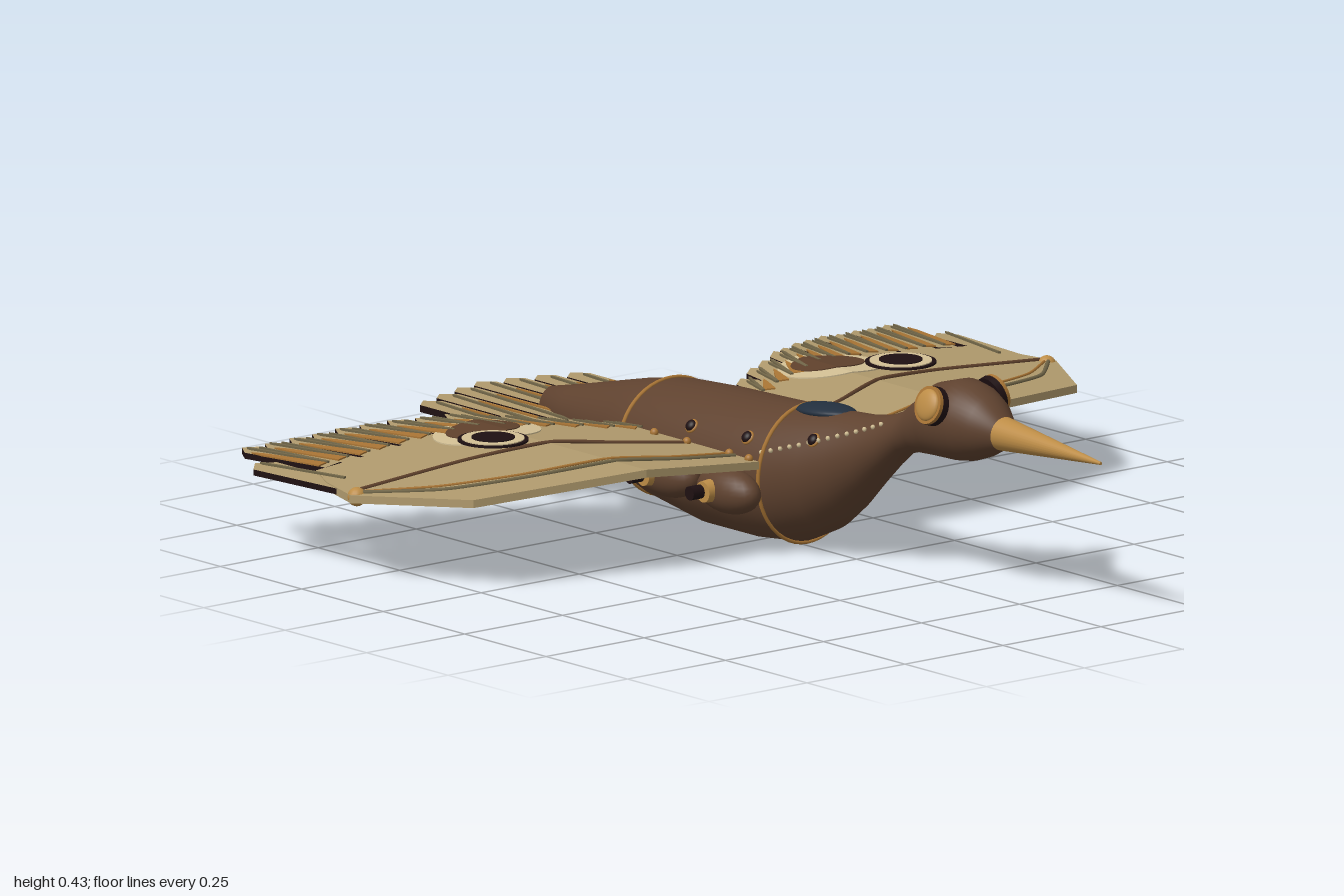
import * as THREE from 'three';

const mat = (name, color) => Object.assign(new THREE.MeshStandardMaterial({ color }), { name });
const M = {
  brown: mat('brown hull', 0x5f422f), tan: mat('tan canvas', 0xb09a6d), gold: mat('brass', 0xbc8c46),
  copper: mat('copper', 0xa87434), dark: mat('near black', 0x1e1012), glass: mat('blue glass', 0x222f3e),
  pale: mat('pale canvas', 0xd2bf94), grey: mat('grey cord', 0x716648), rust: mat('spot brown', 0x5f412c),
};

// hull stations: z, top, bottom, half width
const HULL = [
  [.71, .342, .34, .002], [.708, .37, .31, .03], [.66, .407, .285, .058], [.62, .424, .271, .073], [.58, .43, .265, .079],
  [.51, .41, .262, .068], [.45, .365, .258, .05], [.41, .335, .246, .045], [.36, .316, .205, .05],
  [.3, .305, .15, .062], [.24, .3, .095, .082], [.18, .296, .05, .102], [.1, .29, .015, .125],
  [0, .285, .005, .137], [-.15, .28, .005, .139], [-.3, .27, .03, .133], [-.4, .252, .055, .11],
  [-.5, .228, .07, .087], [-.6, .204, .085, .06], [-.685, .185, .097, .034], [-.69, .142, .14, .002],
];

function section(z) {
  let i = 0;
  while (i < HULL.length - 2 && HULL[i + 1][0] > z) i++;
  const a = HULL[i], b = HULL[i + 1], t = (z - a[0]) / (b[0] - a[0]);
  const [, top, bot, rx] = a.map((v, k) => v + (b[k] - v) * t);
  return { cy: (top + bot) / 2, ry: (top - bot) / 2, rx };
}
// point on the hull; angle 0 is sideways, PI/2 is up
function onHull(z, angle, out = 0) {
  const s = section(z);
  return [Math.cos(angle) * (s.rx + out), s.cy + Math.sin(angle) * (s.ry + out), z];
}

function add(parent, name, geo, material, pos = [0, 0, 0], rot = [0, 0, 0], scale = [1, 1, 1]) {
  const m = new THREE.Mesh(geo, material);
  m.name = name;
  m.position.set(...pos);
  m.rotation.set(...rot);
  m.scale.set(...scale);
  parent.add(m);
}

function hullGeometry() {
  const n = HULL.length - 1, g = new THREE.CylinderGeometry(1, 1, 1, 40, n, true), p = g.attributes.position;
  for (let i = 0; i < p.count; i++) {
    const [z, top, bot, rx] = HULL[Math.round((.5 - p.getY(i)) * n)];
    p.setXYZ(i, p.getX(i) * rx, (top + bot) / 2 - p.getZ(i) * (top - bot) / 2, z);
  }
  g.computeVertexNormals();
  return g;
}

// wing height: rises to the elbow, then droops to the tip
const wingY = x => x < .42 ? .185 + (x - .1) / .32 * .03 : .215 - (x - .42) / .48 * .039;

// horizontal plate from [x, z] corners, optionally following the wing
function plate(points, y, thick, bend = true) {
  const shape = new THREE.Shape(points.map(([x, z]) => new THREE.Vector2(x, -z)));
  const g = new THREE.ExtrudeGeometry(shape, { depth: thick, bevelEnabled: false }).rotateX(-Math.PI / 2);
  const p = g.attributes.position;
  for (let i = 0; i < p.count; i++) p.setY(i, p.getY(i) + y + (bend ? wingY(p.getX(i)) : 0));
  g.computeVertexNormals();
  return g;
}
// pointed strip from base to tip
function strip([bx, bz], [tx, tz], w0, w1, point) {
  const d = new THREE.Vector2(tx - bx, tz - bz), len = d.length();
  d.divideScalar(len);
  const at = (along, side) => [bx + d.x * along - d.y * side, bz + d.y * along + d.x * side];
  return [at(0, -w0), at(len - point, -w1), at(len, 0), at(len - point, w1), at(0, w0)];
}
// half of an ellipse, cut at the wing elbow: side -1 is inboard, 1 is outboard
function halfEllipse(cx, cz, rx, rz, side) {
  const cut = Math.acos((.42 - cx) / rx), span = side > 0 ? cut : Math.PI - cut, mid = side > 0 ? 0 : Math.PI;
  return Array.from({ length: 21 }, (_, i) => {
    const a = mid + (i / 10 - 1) * span;
    return [cx + Math.cos(a) * rx, cz + Math.sin(a) * rz];
  });
}
const tube = (pts, r) => new THREE.TubeGeometry(
  new THREE.CatmullRomCurve3(pts.map(p => new THREE.Vector3(...p)), false, 'catmullrom', .3), 32, r, 6);

const FEATHER = [M.tan, M.dark]; // faces, edges

function wing() {
  const w = new THREE.Group();
  const inner = [[.132, .11], [.42, .11], [.42, -.41], [.38, -.41], [.125, -.325]];
  const outer = [[.42, .11], [.77, 0], [.9, -.22], [.87, -.33], [.83, -.41], [.42, -.41]];
  add(w, 'innerWing', plate(inner, -.008, .016), M.tan);
  add(w, 'outerWing', plate(outer, -.008, .016), M.tan);

  // trailing feathers with quills and copper barbs
  const tips = [[.16, -.35], [.21, -.385], [.265, -.425], [.32, -.46], [.37, -.485], [.42, -.51], [.47, -.54], [.52, -.565],
    [.57, -.59], [.62, -.605], [.67, -.615], [.72, -.625], [.77, -.64], [.82, -.65], [.87, -.55]];
  tips.forEach(([x, z], i) => {
    const last = i === tips.length - 1;
    const base = last ? [.86, -.28] : [x - .035, z + .13 + .13 * x];
    const y = -.006 + (i % 2) * .002;
    add(w, 'wingFeather', plate(strip(base, [x, z], .022, last ? .031 : .025, .03), y, .012), FEATHER);
    const len = .06 + .2 * x;
    add(w, 'featherQuill', plate(strip([x - .035, z + len], [x + .004, z + .02], .003, .003, .01), .0095, .004), M.grey);
    if (last) return;
    add(w, 'innerQuill', plate(strip([x - .035, z + len], [x - .014, z + .035], .003, .002, .01), .0095, .004), M.grey);
    add(w, 'copperBarb', plate(strip([x - .02, z + len], [x + .017, z + .05], .012, .006, .03), .0085, .003), M.copper);
  });

  // ribs, cords and tip knob
  const path = pts => pts.map(([x, z]) => [x, wingY(x) + .009, z]);
  add(w, 'wingBone', tube(path([[.14, -.1], [.28, -.14], [.42, -.19], [.6, -.225], [.88, -.235]]), .0045), M.rust);
  add(w, 'frontCord', tube(path([[.14, .045], [.28, .04], [.42, .015], [.6, -.035], [.76, -.1], [.88, -.22]]), .0045), M.grey);
  add(w, 'rearCord', tube(path([[.14, .02], [.28, .015], [.42, -.01], [.6, -.06], [.75, -.125], [.87, -.22]]), .003), M.copper);
  add(w, 'tipKnob', new THREE.SphereGeometry(.019, 16, 12), M.gold, [.88, wingY(.88), -.225]);

  // patch on both faces, laid either side of the elbow
  for (const side of [-1, 1]) for (const [y, step] of [[.008, .002], [-.0105, -.002]]) {
    add(w, 'palePatch', plate(halfEllipse(.44, -.355, .118, .088, side), y, .0025), M.pale);
    add(w, 'brownPatch', plate(halfEllipse(.44, -.368, .083, .055, side), y + step, .0025), M.rust);
  }
  // raised eye spot
  [[.07, M.dark], [.062, M.pale], [.043, M.dark]].forEach(([r, m], i) =>
    add(w, 'eyeSpot', new THREE.CylinderGeometry(r, r, .004, 32), m, [.52, .236 + i * .002, -.24]));
  return w;
}

function sideParts() {
  const s = new THREE.Group(), ball = new THREE.SphereGeometry(1, 24, 16), H = Math.PI / 2;
  // eye with dark backing
  const eye = new THREE.Group();
  eye.name = 'eye';
  eye.position.set(.078, .385, .575);
  eye.rotation.z = .3;
  add(eye, 'eyeBacking', new THREE.CylinderGeometry(.039, .039, .014, 28), M.dark, [-.003, 0, 0], [0, 0, H]);
  add(eye, 'eyeRim', new THREE.CylinderGeometry(.038, .038, .008, 28), M.copper, [.008, 0, 0], [0, 0, H]);
  add(eye, 'eyeLens', ball, M.gold, [.011, 0, 0], [0, 0, 0], [.012, .032, .032]);
  s.add(eye);

  // side pods with outward nozzles
  for (const z of [.045, -.14]) {
    add(s, 'pod', ball, M.brown, [.155, .13, z], [0, 0, 0], [.042, .046, .085]);
    add(s, 'podCollar', new THREE.CylinderGeometry(.021, .024, .03, 20), M.gold, [.195, .132, z - .015], [0, 0, -H]);
    add(s, 'podNozzle', new THREE.CylinderGeometry(.014, .014, .05, 16), M.dark, [.213, .132, z - .022], [0, 0, -H]);
  }
  // rear thrusters
  add(s, 'thruster', new THREE.CylinderGeometry(.029, .029, .15, 20), M.brown, [.085, .112, -.565], [H, 0, 0]);
  add(s, 'thrusterBand', new THREE.CylinderGeometry(.031, .031, .02, 20), M.dark, [.085, .112, -.555], [H, 0, 0]);
  add(s, 'thrusterCap', new THREE.CylinderGeometry(.03, .033, .04, 20), M.gold, [.085, .112, -.655], [H, 0, 0]);
  add(s, 'thrusterBore', new THREE.CylinderGeometry(.02, .02, .008, 16), M.dark, [.085, .112, -.675], [H, 0, 0]);

  // tail streamer
  add(s, 'streamer', tube([[.07, .07, -.37], [.075, .056, -.5], [.075, .047, -.7], [.075, .06, -1]], .0075), M.dark);

  // portholes and root bolts
  for (const [z, a] of [[.21, .6], [.045, .62], [-.12, .62]]) {
    add(s, 'portholeRim', ball, M.copper, onHull(z, a), [0, 0, a], [.006, .015, .015]);
    add(s, 'porthole', ball, M.dark, onHull(z, a, .003), [0, 0, a], [.008, .012, .012]);
  }
  for (const z of [.09, .03, -.1, -.2])
    add(s, 'rootBolt', ball, M.copper, [.142, .2, z], [0, 0, 0], [.008, .009, .009]);
  // neck stitching
  for (let i = 0; i < 14; i++)
    add(s, 'stitch', new THREE.SphereGeometry(.005, 6, 5), M.pale, onHull(.37 - i * .021, .75 - i * .025, .002));
  return s;
}

export function createModel() {
  const bird = new THREE.Group();
  bird.name = 'mechanicalBird';
  add(bird, 'hull', hullGeometry(), M.brown);
  add(bird, 'beak', new THREE.CylinderGeometry(.003, .034, .3, 28), M.gold, [0, .337, .85], [Math.PI / 2 + .02, 0, 0]);
  add(bird, 'cockpit', new THREE.SphereGeometry(1, 28, 16), M.glass, [0, .288, .155], [-.07, 0, 0], [.043, .015, .081]);

  // brass hoops
  for (const z of [.1, -.32]) {
    const s = section(z);
    add(bird, 'hoop', new THREE.TorusGeometry(1, .03, 6, 48), M.copper, [0, s.cy, z], [0, 0, 0], [s.rx + .002, s.ry + .002, .15]);
  }

  // tail fan
  for (let i = -3; i <= 3; i++) {
    const x = i * .0625, end = [-.915, -.9, -.88, -.855][Math.abs(i)];
    add(bird, 'tailFeather', plate(strip([x, -.51], [x, end], .028, .028, .025), .138, .014, false), FEATHER);
    add(bird, 'tailQuill', plate(strip([x - .012, -.53], [x + .008, end + .03], .004, .003, .01), .152, .004, false), M.grey);
    add(bird, 'tailBarb', plate(strip([x + .016, -.53], [x + .016, end + .1], .004, .003, .02), .152, .003, false), M.copper);
  }

  // mirrored halves
  for (const [side, name] of [[1, 'left'], [-1, 'right']]) {
    const w = wing(), p = sideParts();
    w.name = name + 'Wing';
    p.name = name + 'Fittings';
    w.scale.x = p.scale.x = side;
    bird.add(w, p);
  }
  return bird;
}
